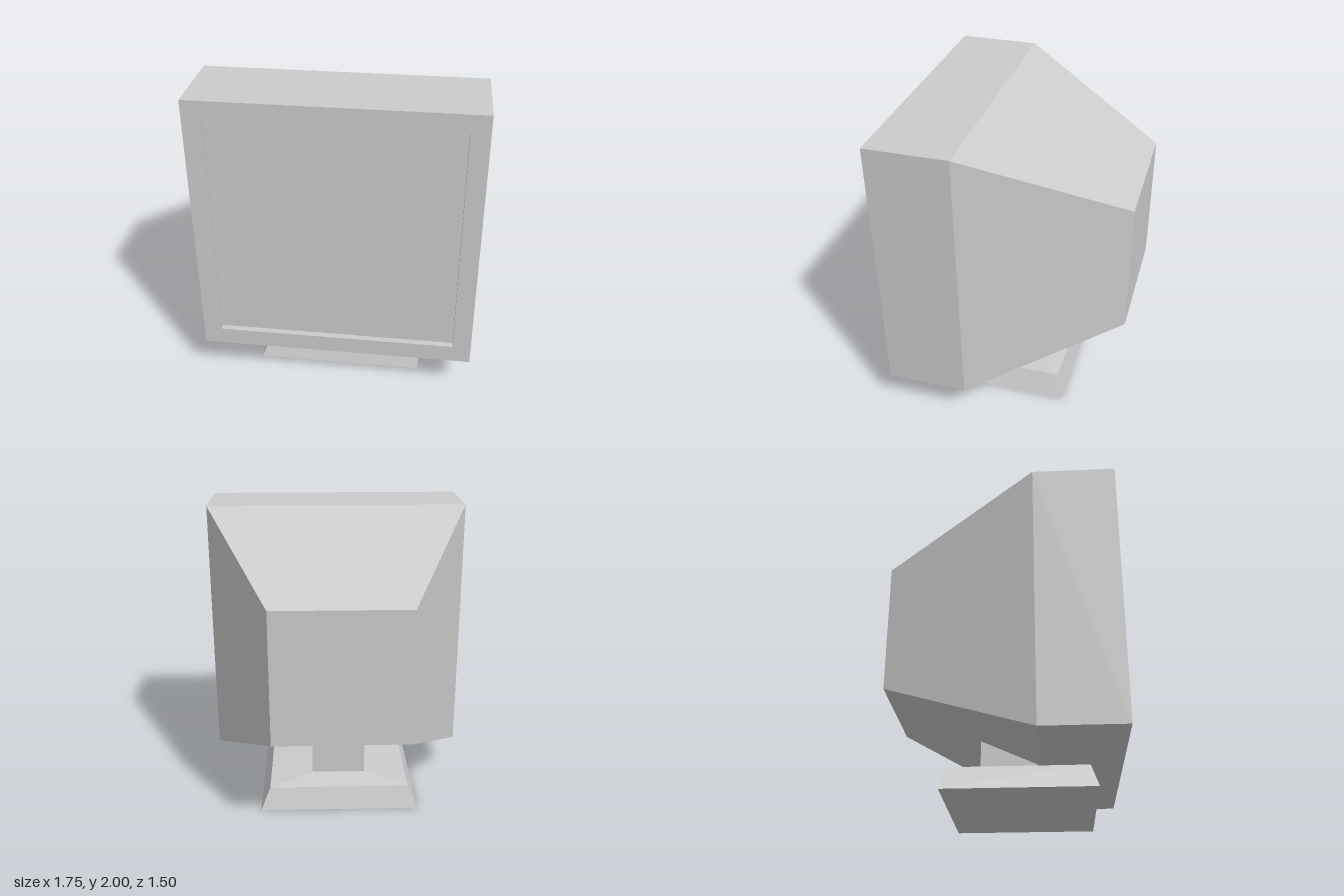
import * as THREE from 'three';

const material = new THREE.MeshStandardMaterial({ color: 0xcccccc, flatShading: true });

// Rectangular ring facing +z
const ringZ = (halfW, y0, y1, z) => [
  [-halfW, y0, z], [halfW, y0, z], [halfW, y1, z], [-halfW, y1, z],
];

// Rectangular ring facing +y; the back edge may sit at another height
const ringY = (halfW, zFront, zBack, y, yBack = y) => [
  [-halfW, y, zFront], [halfW, y, zFront], [halfW, yBack, zBack], [-halfW, yBack, zBack],
];

// Joins four-cornered rings with flat faces, optionally closing the ends
function loft(name, rings, capStart, capEnd) {
  const pos = [];
  const quad = (a, b, c, d) => pos.push(...a, ...b, ...c, ...a, ...c, ...d);
  for (let i = 0; i < rings.length - 1; i++) {
    const r = rings[i], s = rings[i + 1];
    for (let k = 0; k < 4; k++) {
      const n = (k + 1) % 4;
      quad(r[k], r[n], s[n], s[k]);
    }
  }
  if (capStart) quad(...[...rings[0]].reverse());
  if (capEnd) quad(...rings[rings.length - 1]);
  const geometry = new THREE.BufferGeometry();
  geometry.setAttribute('position', new THREE.Float32BufferAttribute(pos, 3));
  geometry.computeVertexNormals();
  const mesh = new THREE.Mesh(geometry, material);
  mesh.name = name;
  return mesh;
}

export function createModel() {
  const group = new THREE.Group();
  group.name = 'monitor';

  // Housing: tapered back, straight front, bezel and the walls of the screen recess
  const screenZ = 0.71;
  group.add(loft('housing', [
    ringZ(0.437, 0.69, 1.565, -0.75),
    ringZ(0.875, 0.25, 2, 0.222),
    ringZ(0.875, 0.25, 2, 0.75),
    ringZ(0.76, 0.365, 1.89, 0.75),
    ringZ(0.76, 0.365, 1.89, screenZ),
  ], true, false));

  // Flat screen at the bottom of the recess
  const screen = new THREE.Mesh(new THREE.PlaneGeometry(1.52, 1.525), material);
  screen.name = 'screen';
  screen.position.set(0, 1.1275, screenZ);
  group.add(screen);

  // Neck: its top follows the sloping underside of the housing
  group.add(loft('neck', [
    ringY(0.183, 0.21, -0.15, 0.178),
    ringY(0.183, 0.21, -0.15, 0.26, 0.422),
  ], false, true));

  // Foot: bevelled base with a shallow sloping top
  group.add(loft('foot', [
    ringY(0.54, 0.575, -0.365, 0),
    ringY(0.475, 0.53, -0.32, 0.152),
    ringY(0.183, 0.21, -0.15, 0.178),
  ], true, false));

  return group;
}
